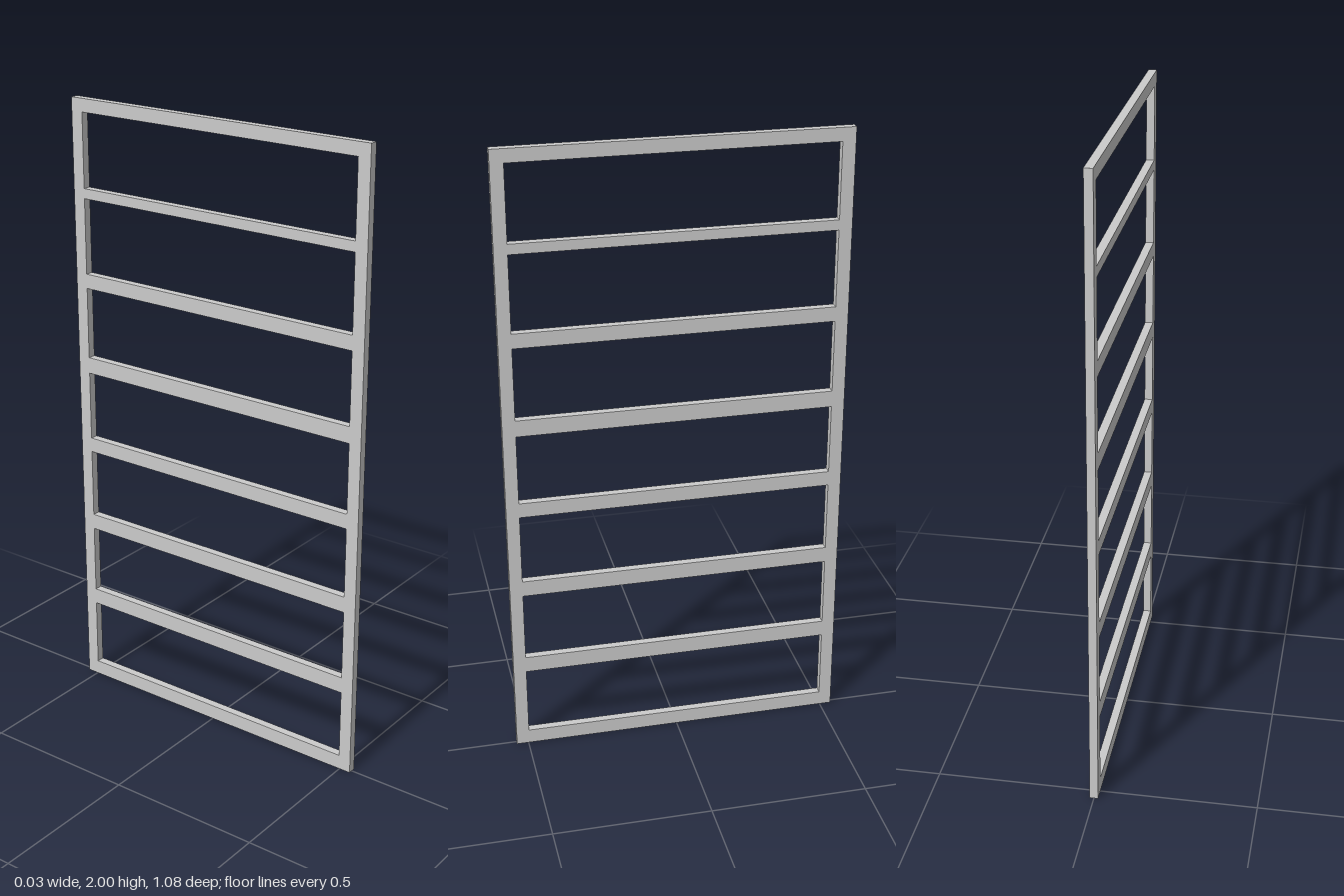
import * as THREE from 'three';

const THICKNESS = 0.026;
const HALF_DEPTH = 0.538, HALF_OPENING = 0.497;
const HEIGHT = 2, OPENING_BOTTOM = 0.048, OPENING_TOP = 1.958;

// Bottom and top height of each cross rail
const RAILS = [
  [0.275, 0.328], [0.556, 0.608], [0.836, 0.884],
  [1.111, 1.164], [1.397, 1.444], [1.688, 1.72],
];

// Closed rectangle, given by half width and vertical range
function rectangle(PathType, half, bottom, top) {
  return new PathType([
    new THREE.Vector2(-half, bottom),
    new THREE.Vector2(half, bottom),
    new THREE.Vector2(half, top),
    new THREE.Vector2(-half, top),
  ]);
}

export function createModel() {
  const group = new THREE.Group();
  group.name = 'ladderFrame';
  const material = new THREE.MeshStandardMaterial({ color: 0xcccccc });

  // Outer frame: a flat rectangle with one opening, turned to lie in the YZ plane
  const outline = rectangle(THREE.Shape, HALF_DEPTH, 0, HEIGHT);
  outline.holes.push(rectangle(THREE.Path, HALF_OPENING, OPENING_BOTTOM, OPENING_TOP));
  const frameGeometry = new THREE.ExtrudeGeometry(outline, { depth: THICKNESS, bevelEnabled: false });
  frameGeometry.translate(0, 0, -THICKNESS / 2).rotateY(Math.PI / 2);
  const frame = new THREE.Mesh(frameGeometry, material);
  frame.name = 'outerFrame';
  group.add(frame);

  // Cross rails spanning the opening
  RAILS.forEach(([bottom, top], i) => {
    const rail = new THREE.Mesh(
      new THREE.BoxGeometry(THICKNESS, top - bottom, HALF_OPENING * 2), material);
    rail.position.y = (bottom + top) / 2;
    rail.name = `crossRail${i + 1}`;
    group.add(rail);
  });

  return group;
}
